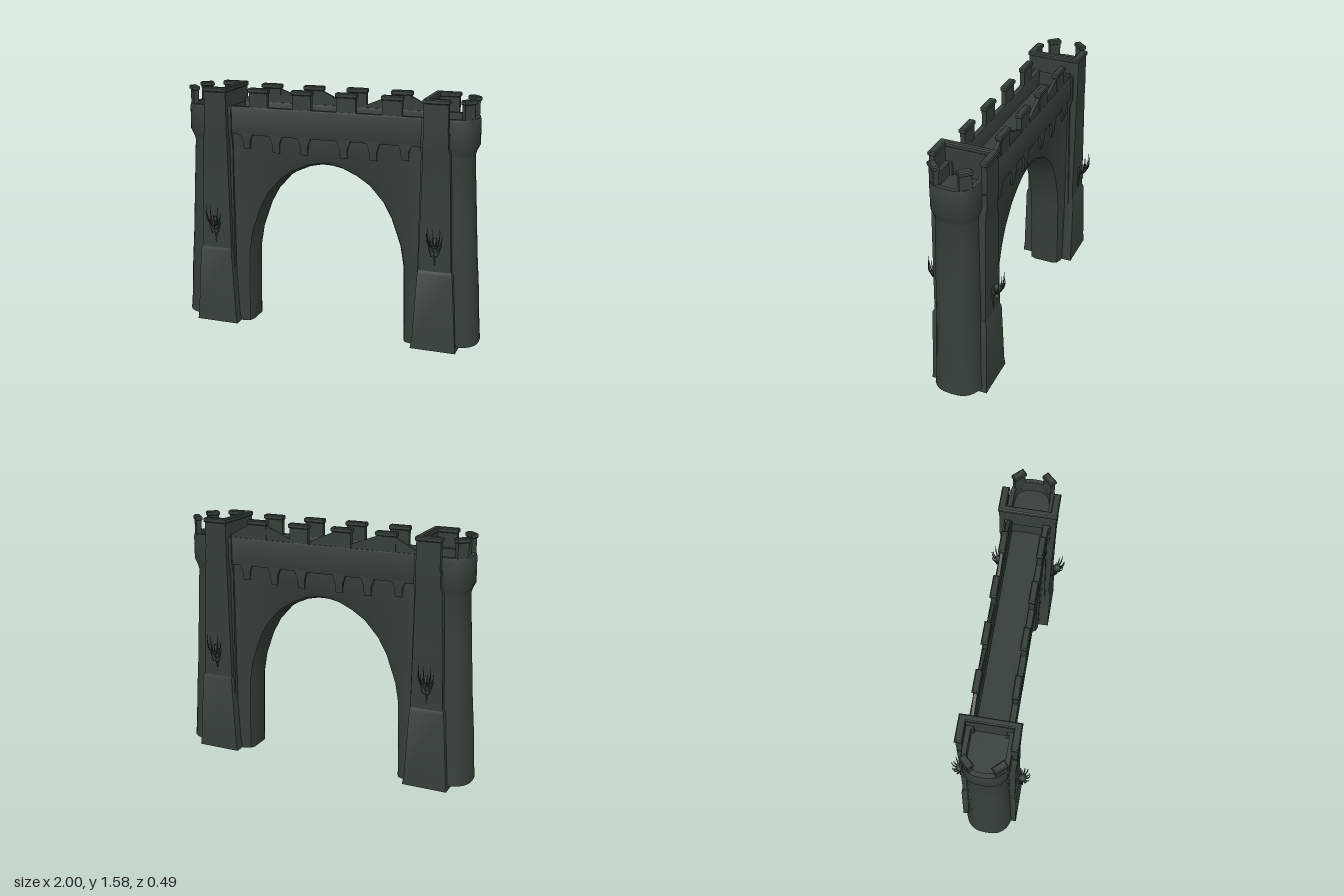
import * as THREE from 'three';
import { toCreasedNormals } from 'three/addons/utils/BufferGeometryUtils.js';

const stone = new THREE.MeshStandardMaterial({ color: 0x363f38, side: THREE.DoubleSide });
stone.name = 'dark stone';

function add(parent, name, geometry, x = 0, y = 0, z = 0) {
  const mesh = new THREE.Mesh(geometry, stone);
  mesh.name = name;
  mesh.position.set(x, y, z);
  parent.add(mesh);
  return mesh;
}

// Skin a stack of rings (arrays of [x, y, z]); optionally close the last ring.
function loft(rings, cap = true, crease = 0.7) {
  const n = rings[0].length, pos = rings.flat(2), idx = [];
  for (let r = 0; r < rings.length - 1; r++) {
    for (let i = 0; i < n; i++) {
      const a = r * n + i, b = r * n + (i + 1) % n;
      idx.push(a, a + n, b, b, a + n, b + n);
    }
  }
  const last = (rings.length - 1) * n;
  if (cap) for (let i = 1; i < n - 1; i++) idx.push(last, last + i + 1, last + i);
  const g = new THREE.BufferGeometry();
  g.setAttribute('position', new THREE.Float32BufferAttribute(pos, 3));
  g.setIndex(idx);
  return toCreasedNormals(g, crease);
}

// Rectangular ring at height y.
const rect = (y, x0, x1, z0, z1) => [[x0, y, z0], [x1, y, z0], [x1, y, z1], [x0, y, z1]];
const block = (...levels) => loft(levels.map((l) => rect(...l)));

// D-shaped tower ring: straight inner side, rounded outer end.
function towerRing(y, outer, half, inner = 0.62) {
  const pts = [[inner, y, -half]], start = 0.8, steps = 14;
  for (let i = 0; i <= steps; i++) {
    const t = -Math.PI / 2 + (Math.PI * i) / steps, c = Math.max(0, Math.cos(t)), s = Math.sin(t);
    pts.push([start + (outer - start) * c ** 0.75, y, half * Math.sign(s) * Math.abs(s) ** 0.75]);
  }
  pts.push([inner, y, half]);
  return pts;
}

// Block with a slightly projecting worn cap.
function capped(parent, name, x0, x1, y0, y1, z0, z1) {
  const e = 0.006;
  add(parent, name, block([y0, x0, x1, z0, z1], [y1 - 0.03, x0, x1, z0, z1],
    [y1 - 0.025, x0 - e, x1 + e, z0 - e, z1 + e], [y1 - 0.006, x0 - e, x1 + e, z0 - e, z1 + e],
    [y1, x0, x1, z0, z1]));
}

// Thorny wall ornament, facing +z.
function ornament() {
  const g = new THREE.Group();
  g.name = 'thornOrnament';
  const stem = add(g, 'ornamentStem', new THREE.ConeGeometry(0.018, 0.16, 6), 0, 0.63, 0.172);
  stem.rotation.x = Math.PI;
  add(g, 'ornamentHead', new THREE.SphereGeometry(0.026, 8, 6), 0, 0.71, 0.2).scale.set(1, 1.3, 1);
  for (let i = 0; i < 7; i++) {
    const a = (i / 6 - 0.5) * 2.6, s = Math.sin(a), c = Math.cos(a);
    const path = new THREE.QuadraticBezierCurve3(new THREE.Vector3(0, 0.68, 0.19),
      new THREE.Vector3(s * 0.06, 0.7, 0.2 + c * 0.05),
      new THREE.Vector3(s * 0.05, 0.77 + (i % 2) * 0.05, 0.19 + c * 0.055));
    const thorn = new THREE.TubeGeometry(path, 6, 0.007, 5);
    // Thin each thorn towards its tip.
    const p = thorn.attributes.position, v = new THREE.Vector3();
    for (let k = 0; k < p.count; k++) {
      const u = Math.floor(k / 6) / 6, m = path.getPointAt(u);
      v.fromBufferAttribute(p, k).sub(m).multiplyScalar(1 - u * 0.85).add(m);
      p.setXYZ(k, v.x, v.y, v.z);
    }
    add(g, 'thorn', thorn);
  }
  for (const s of [-1, 1]) {
    const leaf = add(g, 'ornamentLeaf', new THREE.ConeGeometry(0.014, 0.09, 4), s * 0.028, 0.67, 0.19);
    leaf.rotation.z = -s * 0.45;
  }
  return g;
}

// One gate tower on the +x side.
function tower() {
  const g = new THREE.Group();
  g.name = 'tower';
  const rings = [[0.03, 1, 0.16], [0.12, 0.992, 0.153], [0.35, 0.98, 0.145], [0.6, 0.96, 0.138],
    [0.9, 0.942, 0.132], [1.22, 0.922, 0.125], [1.25, 0.93, 0.13], [1.29, 0.95, 0.142],
    [1.44, 0.948, 0.142], [1.46, 0.942, 0.138], [1.46, 0.915, 0.11], [1.38, 0.91, 0.108]];
  add(g, 'roundTower', loft(rings.map((r) => towerRing(...r))));

  // Stepped buttresses on the front and back
  add(g, 'buttressBase', loft([rect(0, 0.595, 0.885, -0.185, 0.185), rect(0.06, 0.605, 0.878, -0.182, 0.182),
    rect(0.5, 0.628, 0.848, -0.178, 0.178), rect(0.525, 0.635, 0.838, -0.165, 0.165)]));
  add(g, 'buttressShaft', block([0.5, 0.63, 0.838, -0.168, 0.168], [0.9, 0.636, 0.822, -0.168, 0.168],
    [1.26, 0.64, 0.805, -0.168, 0.168], [1.29, 0.64, 0.795, -0.172, 0.172], [1.38, 0.64, 0.795, -0.172, 0.172]));

  // Open turret on top of the buttresses
  capped(g, 'turretInnerWall', 0.64, 0.665, 1.36, 1.58, -0.17, 0.17);
  for (const s of [-1, 1]) {
    const z = s * 0.155;
    capped(g, 'turretWall', 0.64, 0.79, 1.36, 1.58, z - 0.017, z + 0.017);
    const merlon = new THREE.Group();
    merlon.name = 'towerMerlon';
    capped(merlon, 'towerMerlonBlock', -0.016, 0.016, 1.42, 1.575, -0.036, 0.036);
    merlon.position.set(0.893, 0, s * 0.092);
    merlon.rotation.y = -s * 0.75;
    g.add(merlon);
    const o = ornament();
    o.position.x = 0.735;
    if (s < 0) o.rotation.y = Math.PI, o.position.z = 0;
    g.add(o);
  }
  return g;
}

export function createModel() {
  const model = new THREE.Group();
  model.name = 'castleGate';

  // Wall with pointed arch, bevelled along the opening
  const half = [[0.52, 0.2], [0.512, 0.5], [0.49, 0.63], [0.43, 0.8], [0.375, 0.9],
    [0.285, 1], [0.2, 1.055], [0.11, 1.095], [0.04, 1.11]];
  const arch = [...half, [0, 1.112], ...half.map(([x, y]) => [-x, y]).reverse()];
  const outline = [[-0.7, -0.1], [-0.7, 1.37], [0.7, 1.37], [0.7, -0.1], [0.522, -0.1], ...arch, [-0.522, -0.1]];
  const shape = new THREE.Shape(outline.map(([x, y]) => new THREE.Vector2(x, y)));
  const wall = new THREE.ExtrudeGeometry(shape, { depth: 0.13, bevelEnabled: true, bevelSize: 0.05,
    bevelOffset: -0.05, bevelThickness: 0.05, bevelSegments: 2 });
  wall.translate(0, 0, -0.065);
  const p = wall.attributes.position;
  for (let i = 0; i < p.count; i++) p.setY(i, Math.max(0, p.getY(i)));
  add(model, 'archWall', toCreasedNormals(wall, 0.6));

  // Parapets, merlons, sloping rubble and corbels on both faces
  for (const s of [-1, 1]) {
    add(model, 'parapet', block([1.28, -0.68, 0.68, s * 0.112 - 0.014, s * 0.112 + 0.014],
      [1.3, -0.68, 0.68, s * 0.112 - 0.02, s * 0.112 + 0.02], [1.45, -0.68, 0.68, s * 0.112 - 0.02, s * 0.112 + 0.02],
      [1.46, -0.68, 0.68, s * 0.112 - 0.016, s * 0.112 + 0.016]));
    for (const x of [-0.435, -0.145, 0.145, 0.435]) {
      capped(model, 'merlon', x - 0.062, x + 0.062, 1.45, 1.58, s * 0.112 - 0.015, s * 0.112 + 0.015);
    }
    for (const x of [-0.52, -0.32, -0.13, 0.13, 0.32, 0.52]) {
      const y = 1.19 - (Math.abs(x) < 0.4 ? 0.015 : 0);
      add(model, 'corbel', block([y, x - 0.022, x + 0.022, s * 0.106 - 0.018, s * 0.106 + 0.018],
        [y + 0.06, x - 0.026, x + 0.026, s * 0.106 - 0.024, s * 0.106 + 0.024],
        [1.3, x - 0.05, x + 0.05, s * 0.106 - 0.024, s * 0.106 + 0.024]));
    }
  }
  for (const [x0, x1] of [[-0.63, -0.49], [-0.18, -0.38], [0.07, -0.09], [0.2, 0.38], [0.63, 0.49]]) {
    const slope = new THREE.Shape([new THREE.Vector2(x0, 1.45), new THREE.Vector2(x1, 1.45),
      new THREE.Vector2(x1, 1.55), new THREE.Vector2(x0, 1.475)]);
    add(model, 'slopedRubble', new THREE.ExtrudeGeometry(slope, { depth: 0.02, bevelEnabled: false }), 0, 0, -0.122);
  }

  // Towers, the second turned round to the other end
  const left = tower(), right = tower();
  left.name = 'leftTower';
  right.name = 'rightTower';
  right.rotation.y = Math.PI;
  model.add(left, right);
  return model;
}
